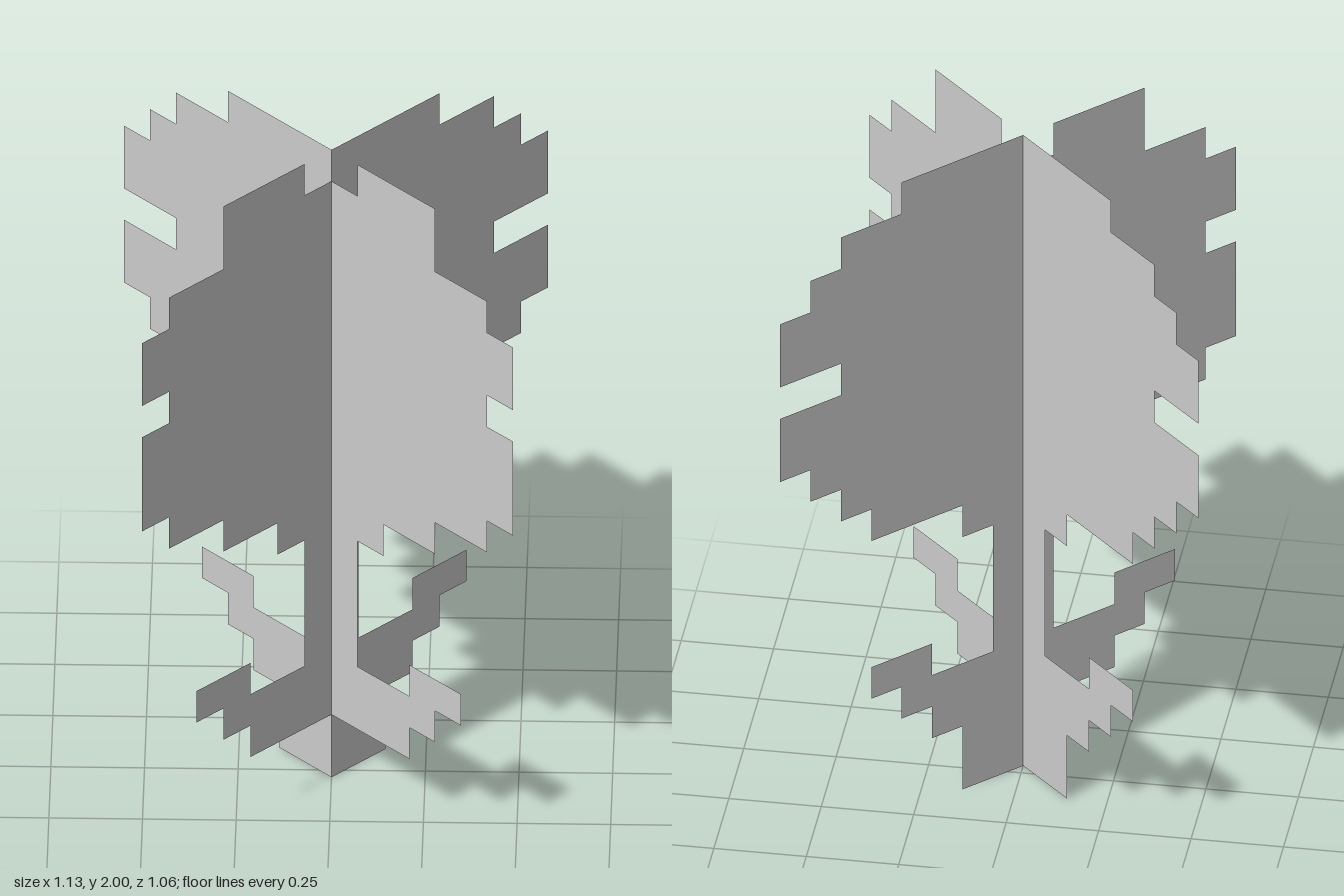
import * as THREE from 'three';

const CELL = 0.1; // size of one square step of the cut-out

// Stepped outline, counterclockwise from the foot: alternating "go to column", "go to row"
const STEPS = [
  // long side, going up: foot, leaf, stem, crown
  2, 2, 3, 3, 4, 4, 5, 5, 3, 4, 1, 8, 2, 9, 5, 10, 6, 11, 7, 12,
  8, 14, 6, 15, 8, 17, 7, 18, 6, 19, 4, 20,
  // notch at the top
  0, 19, -1, 20,
  // short side, going down: crown, stem, leaf
  -4, 18, -6, 17, -7, 15, -6, 14, -7, 11, -6, 10, -4, 9, -2, 8,
  -1, 4, -3, 5, -5, 4, -4, 3, -3, 2, 0, 0,
];

function plantShape() {
  const shape = new THREE.Shape();
  let x = 0, y = 0;
  shape.moveTo(x, y);
  STEPS.forEach((value, i) => {
    if (i === STEPS.length - 1) return; // the outline closes itself
    if (i % 2 === 0) x = value * CELL;
    else y = value * CELL;
    shape.lineTo(x, y);
  });
  return shape;
}

export function createModel() {
  const group = new THREE.Group();
  group.name = 'crossedPlant';
  const material = new THREE.MeshStandardMaterial({ color: 0xcccccc, side: THREE.DoubleSide });
  const geometry = new THREE.ShapeGeometry(plantShape());

  // Two identical flat cut-outs crossing at right angles, long sides to the back
  for (const [name, angle] of [['plantCardLeft', Math.PI / 4], ['plantCardRight', Math.PI * 3 / 4]]) {
    const card = new THREE.Mesh(geometry, material);
    card.name = name;
    card.rotation.y = angle;
    card.position.z = CELL * Math.SQRT1_2 / 2; // centres the uneven halves
    group.add(card);
  }
  return group;
}
